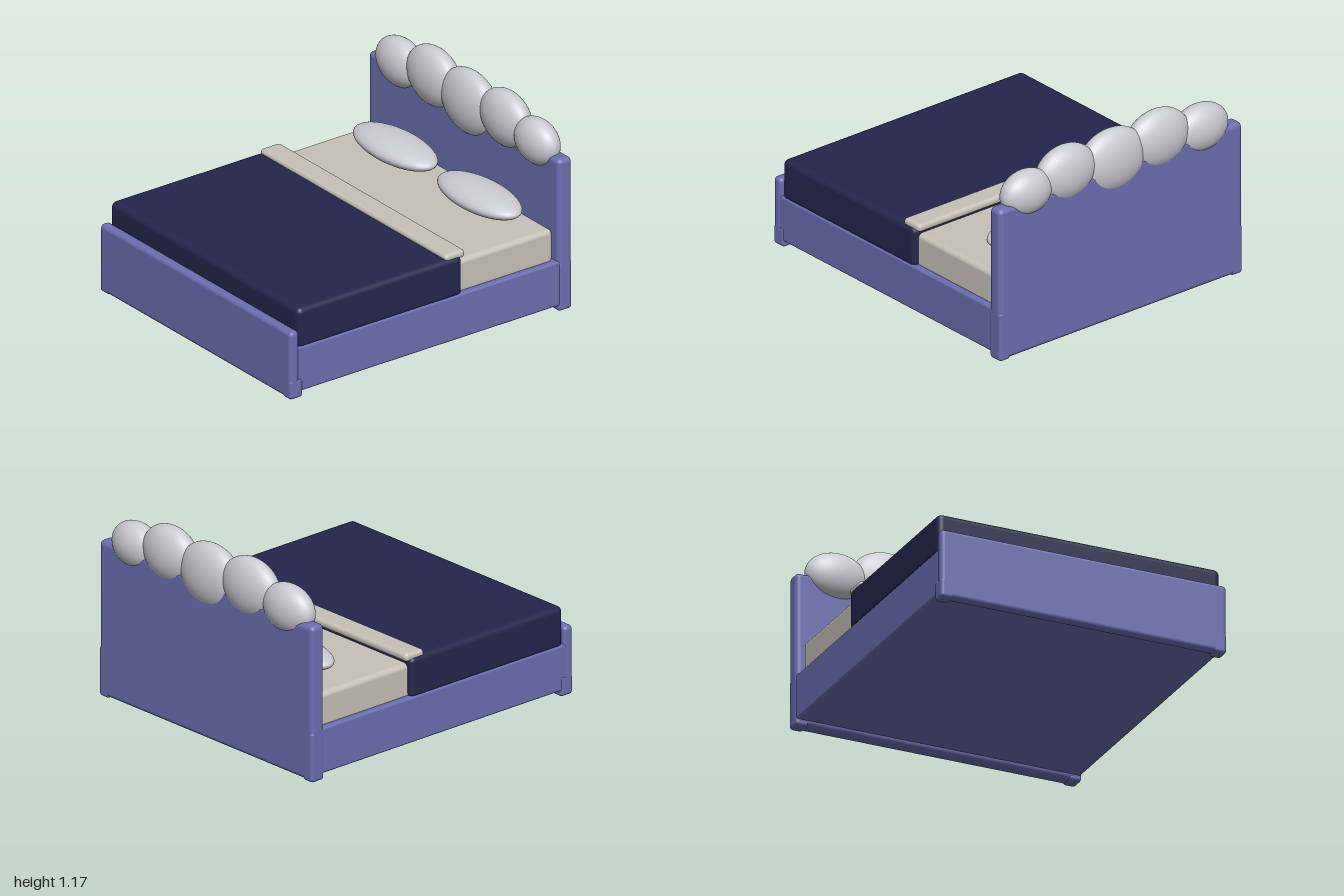
import * as THREE from 'three';
import { RoundedBoxGeometry } from 'three/addons/geometries/RoundedBoxGeometry.js';

const material = (color) => new THREE.MeshStandardMaterial({ color });

export function createModel() {
  const bed = new THREE.Group();
  bed.name = 'bed';
  const frame = material(0x6a6fb0);
  const linen = material(0xc6c2b8);
  const blanketCloth = material(0x24264c);
  const cushion = material(0xcbcbd2);

  // Rounded box spanning [min, max] on each axis
  function block(name, mat, [x0, x1], [y0, y1], [z0, z1], radius) {
    const mesh = new THREE.Mesh(new RoundedBoxGeometry(x1 - x0, y1 - y0, z1 - z0, 4, radius), mat);
    mesh.position.set((x0 + x1) / 2, (y0 + y1) / 2, (z0 + z1) / 2);
    mesh.name = name;
    bed.add(mesh);
  }

  // Soft ellipsoid
  function puff(name, mat, x, y, z, rx, ry, rz) {
    const mesh = new THREE.Mesh(new THREE.SphereGeometry(1, 40, 28), mat);
    mesh.position.set(x, y, z);
    mesh.scale.set(rx, ry, rz);
    mesh.name = name;
    bed.add(mesh);
  }

  // Bed frame
  block('base', frame, [-0.875, 0.875], [0.035, 0.31], [-0.95, 0.98], 0.015);
  block('headboard', frame, [-0.88, 0.88], [0.005, 0.935], [-0.965, -0.868], 0.03);
  block('footboard', frame, [-0.88, 0.88], [0.003, 0.415], [0.935, 1.0], 0.025);

  // Corner feet
  for (const side of [-1, 1]) {
    const xs = side < 0 ? [-0.88, -0.8] : [0.8, 0.88];
    block('frontFoot', frame, xs, [0, 0.12], [0.91, 1.0], 0.02);
    block('backFoot', frame, xs, [0, 0.3], [-0.965, -0.87], 0.02);
  }

  // Bedding
  block('mattress', linen, [-0.84, 0.84], [0.29, 0.5], [-0.862, 0.9], 0.03);
  block('blanket', blanketCloth, [-0.87, 0.87], [0.29, 0.54], [-0.21, 0.937], 0.035);
  block('sheetFold', linen, [-0.858, 0.858], [0.517, 0.566], [-0.237, -0.098], 0.022);

  // Pillows
  for (const side of [-1, 1]) {
    puff('pillow', cushion, side * 0.388, 0.585, -0.69, 0.337, 0.07, 0.152);
  }

  // Padded scallops along the headboard top: x, y, half width, half height
  const scallops = [
    [-0.62, 0.96, 0.19, 0.145],
    [-0.31, 0.993, 0.22, 0.177],
    [0.02, 0.963, 0.237, 0.193],
    [0.355, 0.993, 0.207, 0.168],
    [0.64, 0.96, 0.172, 0.136],
  ];
  for (const [x, y, rx, ry] of scallops) {
    puff('headboardScallop', cushion, x, y, -0.9, rx, ry, 0.1);
  }

  return bed;
}
